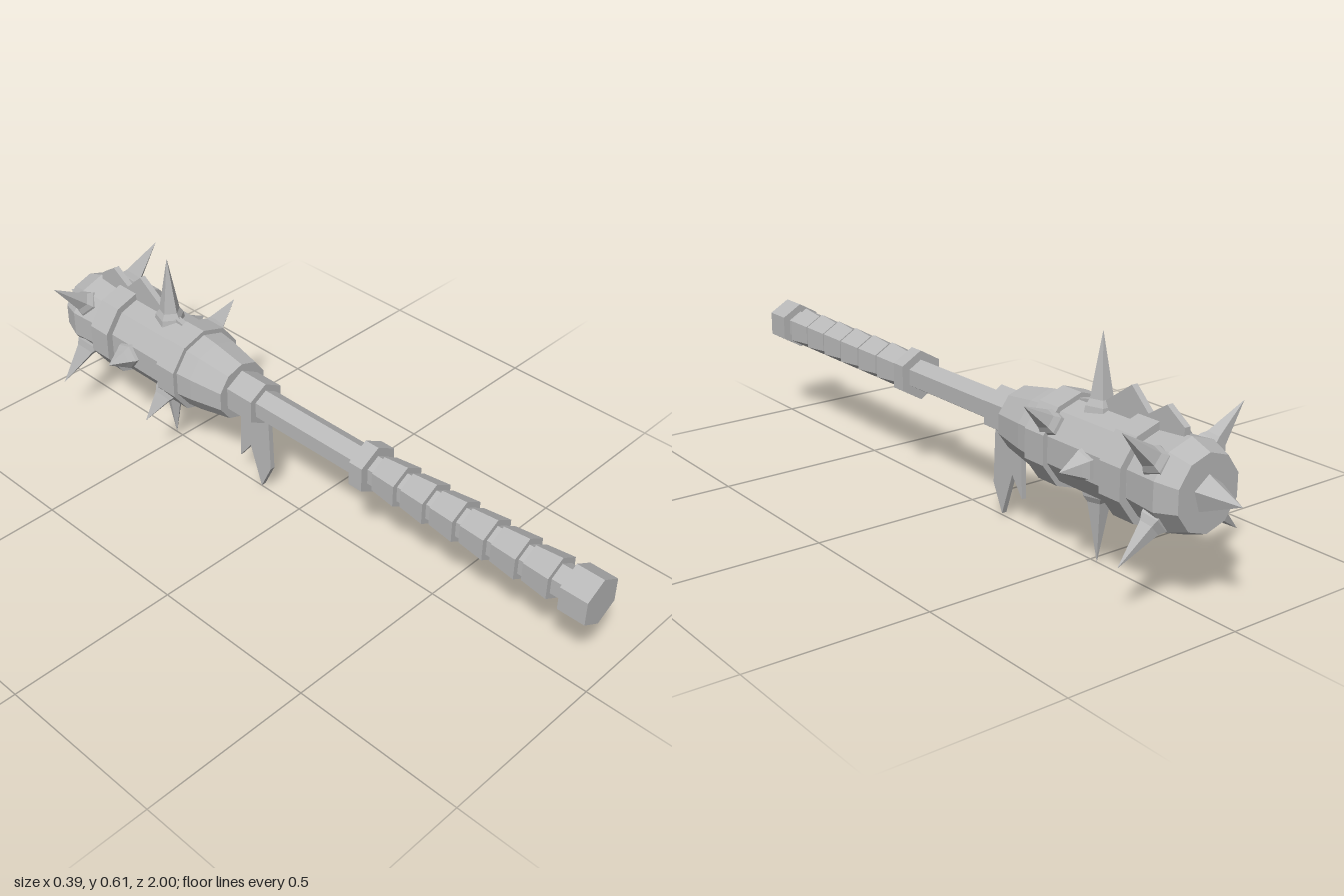
import * as THREE from 'three';

const AXIS = 0.306; // height of the shaft's centre line

export function createModel() {
  const group = new THREE.Group();
  const grey = new THREE.MeshStandardMaterial({ color: 0xb8b8b8 });
  grey.name = 'grey';
  grey.flatShading = true;

  const add = (name, geometry) => {
    const mesh = new THREE.Mesh(geometry, grey);
    mesh.name = name;
    group.add(mesh);
    return mesh;
  };

  // Faceted solid along the shaft, from [radius, z] pairs with z descending
  const turned = (name, sides, profile) => {
    const pts = profile.map(([r, z]) => new THREE.Vector2(r, -z));
    const geo = new THREE.LatheGeometry(pts, sides).rotateX(-Math.PI / 2);
    add(name, geo).position.y = AXIS;
  };
  const ring = (name, sides, z0, z1, r0, r1 = r0) =>
    turned(name, sides, [[0, z0], [r0, z0], [r1, z1], [0, z1]]);

  // Handle
  ring('pommel', 6, 1, 0.92, 0.07);
  ring('shaft', 6, 0.93, -0.2, 0.046);
  for (let i = 0; i < 6; i++) {
    const z = 0.882 - i * 0.098;
    ring('gripWrap', 6, z, z - 0.08, 0.064, 0.055);
  }
  ring('gripCollar', 6, 0.29, 0.245, 0.073);
  ring('headCollar', 6, -0.13, -0.23, 0.067);

  // Head and its two bands
  turned('head', 10, [
    [0, -0.225], [0.088, -0.225], [0.108, -0.33], [0.114, -0.38],
    [0.114, -0.74], [0.122, -0.835], [0.1, -0.895], [0, -0.895],
  ]);
  ring('frontBand', 10, -0.38, -0.452, 0.128);
  ring('rearBand', 10, -0.665, -0.738, 0.135);

  // Five-sided spikes pointing outward at an angle around the shaft
  const spike = (name, degrees, z, tip, r) => {
    const pts = [[r, 0.08], [r * 0.85, 0.118], [r * 0.62, 0.135], [0, tip]]
      .map(([x, y]) => new THREE.Vector2(x, y));
    const mesh = add(name, new THREE.LatheGeometry(pts, 5));
    mesh.position.set(0, AXIS, z);
    mesh.rotation.z = THREE.MathUtils.degToRad(degrees - 90);
  };
  for (const a of [90, 270]) spike('longSpike', a, -0.525, 0.305, 0.05);
  for (const a of [0, 180]) spike('sideSpike', a, -0.59, 0.187, 0.047);
  for (const a of [40, 140, 220, 320]) spike('rearSpike', a, -0.81, 0.255, 0.046);
  for (const a of [35, 215]) spike('frontSpike', a, -0.445, 0.22, 0.043);
  turned('endSpike', 5, [[0.05, -0.89], [0, -1]]);

  // Thin plates standing in the middle plane, from [z, y] outlines
  const plate = (name, outline, thickness) => {
    const shape = new THREE.Shape(outline.map(([z, y]) => new THREE.Vector2(-z, y)));
    const geo = new THREE.ExtrudeGeometry(shape, { depth: thickness, bevelEnabled: false });
    add(name, geo.translate(0, 0, -thickness / 2).rotateY(Math.PI / 2));
  };
  plate('crest', [
    [-0.45, 0.39], [-0.45, 0.42], [-0.55, 0.44], [-0.64, 0.503], [-0.7, 0.447],
    [-0.76, 0.485], [-0.82, 0.445], [-0.82, 0.39],
  ], 0.018);
  plate('clothStrip', [
    [-0.115, 0.28], [-0.107, 0.09], [-0.145, 0.01], [-0.188, 0.135],
    [-0.23, 0.078], [-0.225, 0.28],
  ], 0.015);

  return group;
}
